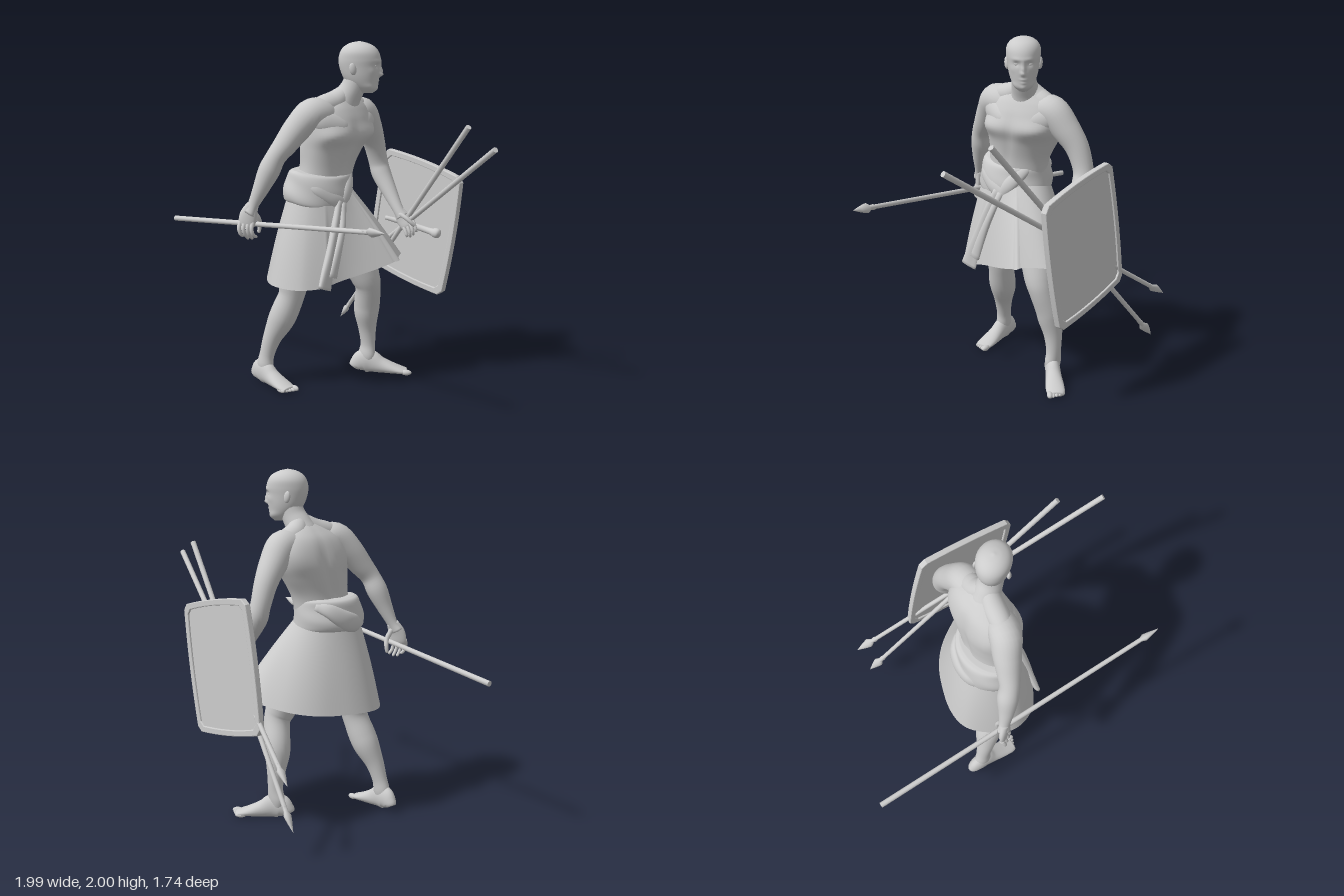
import * as THREE from 'three';

const V = (x, y, z) => new THREE.Vector3(x, y, z);
const FACING = V(0.83, 0, 0.56); // direction the chest points to
const UP = V(0, 1, 0);
const mat = new THREE.MeshStandardMaterial({ color: 0xcccccc });
const thin = new THREE.MeshStandardMaterial({ color: 0xcccccc, side: THREE.DoubleSide });

function add(parent, name, geometry, material = mat) {
  const m = new THREE.Mesh(geometry, material);
  m.name = name;
  parent.add(m);
  return m;
}

// Smooth closed surface through oval sections, rows of [x, y, z, halfWidth, halfDepth].
// ref: direction of the depth axis; level: keep sections horizontal;
// shape(angle, point): radius factor; warp(vertex): final adjustment.
function sweep(rows, { ref = FACING, level = false, seg = 24, step = 5, shape, warp } = {}) {
  const path = new THREE.CatmullRomCurve3(rows.map(r => V(r[0], r[1], r[2])), false, 'catmullrom', 0.5);
  const size = new THREE.CatmullRomCurve3(rows.map(r => V(r[3], r[4] ?? r[3], 0)), false, 'catmullrom', 0.5);
  const n = (rows.length - 1) * step, pos = [], idx = [];
  const put = v => { if (warp) warp(v); pos.push(v.x, v.y, v.z); };
  for (let i = 0; i <= n; i++) {
    const p = path.getPoint(i / n), s = size.getPoint(i / n);
    const t = level ? UP.clone() : path.getTangent(i / n);
    const side = ref.clone().cross(t).normalize(), depth = t.clone().cross(side);
    for (let j = 0; j < seg; j++) {
      const a = j / seg * Math.PI * 2, k = shape ? shape(a, p) : 1;
      put(p.clone().addScaledVector(side, Math.cos(a) * s.x * k).addScaledVector(depth, Math.sin(a) * s.y * k));
      const q = i * seg + j, r = i * seg + (j + 1) % seg;
      if (i < n) idx.push(q, r, q + seg, r, r + seg, q + seg);
    }
  }
  put(path.getPoint(0));
  put(path.getPoint(1));
  const c0 = (n + 1) * seg, last = n * seg;
  for (let j = 0; j < seg; j++) {
    const k = (j + 1) % seg;
    idx.push(c0, k, j, c0 + 1, last + j, last + k);
  }
  const g = new THREE.BufferGeometry();
  g.setAttribute('position', new THREE.Float32BufferAttribute(pos, 3));
  g.setIndex(idx);
  g.computeVertexNormals();
  return g;
}

// Soft swellings and hollows: [angle from front, y, angular width, height, amount], mirrored
const bumps = list => (a, p) => {
  let k = 1;
  for (const [a0, y0, wa, wy, amt] of list) for (const s of a0 ? [1, -1] : [1]) {
    let d = a - Math.PI / 2 - s * a0;
    d = Math.atan2(Math.sin(d), Math.cos(d));
    k += amt * Math.exp(-((d / wa) ** 2) - ((p.y - y0) / wy) ** 2);
  }
  return k;
};

function ball(parent, name, x, y, z, sx, sy, sz) {
  const m = add(parent, name, new THREE.SphereGeometry(1, 20, 14));
  m.position.set(x, y, z);
  m.scale.set(sx, sy, sz);
  return m;
}

function finger(parent, name, pts, r) {
  const rows = pts.map((p, i) => [...p, r * (1 - 0.12 * i)]);
  const e = pts[pts.length - 1], f = pts[pts.length - 2];
  rows.push([...e.map((c, i) => c + (c - f[i]) * 0.22), r * 0.25]);
  add(parent, name, sweep(rows, { seg: 10, step: 4 }));
}

function foot(parent, name, [hx, hz], [tx, tz], inner) {
  const at = t => [hx + (tx - hx) * t, hz + (tz - hz) * t];
  const rows = [[0, 0.025, 0.06], [0.03, 0.036, 0.095], [0.14, 0.043, 0.14], [0.28, 0.043, 0.14], [0.45, 0.046, 0.1],
    [0.65, 0.053, 0.066], [0.82, 0.053, 0.042], [0.92, 0.042, 0.03]]
    .map(([t, w, h]) => { const [x, z] = at(t); return [x, h / 2, z, w, h / 2]; });
  add(parent, name, sweep(rows, { ref: UP, warp: v => { v.y = Math.max(v.y, 0.003); } }));
  const L = Math.hypot(tx - hx, tz - hz), nx = -(tz - hz) / L, nz = (tx - hx) / L;
  for (let i = 0; i < 5; i++) {
    const [x, z] = at(0.92 - i * 0.025), o = inner * (0.036 - i * 0.019), r = i ? 0.013 : 0.017;
    const toe = ball(parent, name + 'Toe', x + nx * o, r, z + nz * o, 0.032, r, r);
    toe.rotation.y = -Math.atan2(tz - hz, tx - hx);
  }
}

function spear(parent, name, butt, tip) {
  const g = new THREE.Group(), len = butt.distanceTo(tip), shaft = len - 0.12;
  g.name = name;
  add(g, 'shaft', new THREE.CylinderGeometry(0.013, 0.016, shaft, 12)).position.y = shaft / 2;
  const leaf = [[0.012, -0.05], [0.017, -0.03], [0.014, -0.01], [0.03, 0.02], [0.02, 0.06], [0, 0.12]];
  const head = add(g, 'spearHead', new THREE.LatheGeometry(leaf.map(p => new THREE.Vector2(...p)), 12));
  head.position.y = shaft;
  head.scale.z = 0.65;
  g.position.copy(butt);
  g.quaternion.setFromUnitVectors(UP, tip.clone().sub(butt).normalize());
  parent.add(g);
}

// Rectangle with cut corners and gently bowed sides
function plate(w, h, c, bow, Type = THREE.Shape) {
  const s = new Type();
  s.moveTo(-w + c, -h);
  s.quadraticCurveTo(0, -h - bow, w - c, -h); s.lineTo(w, -h + c);
  s.quadraticCurveTo(w + bow, 0, w, h - c); s.lineTo(w - c, h);
  s.quadraticCurveTo(0, h + bow, -w + c, h); s.lineTo(-w, h - c);
  s.quadraticCurveTo(-w - bow, 0, -w, -h + c); s.lineTo(-w + c, -h);
  return s;
}

function buildHead(g) {
  // [y, back, front, half width]
  const rows = [[1.712, 0.2, 0.275, 0.025], [1.735, 0.165, 0.298, 0.05], [1.77, 0.125, 0.304, 0.068],
    [1.81, 0.1, 0.31, 0.08], [1.86, 0.083, 0.314, 0.088], [1.9, 0.079, 0.318, 0.093], [1.94, 0.088, 0.307, 0.092],
    [1.97, 0.11, 0.283, 0.075], [1.99, 0.145, 0.243, 0.045], [2, 0.19, 0.2, 0.006]]
    .map(([y, b, f, w]) => [(b + f) / 2, y, -0.042, w, (f - b) / 2]);
  const face = bumps([[0.42, 1.866, 0.17, 0.015, -0.075], [0.35, 1.89, 0.3, 0.011, 0.035], [0, 1.815, 0.13, 0.012, 0.2],
    [0, 1.838, 0.1, 0.016, 0.15], [0, 1.865, 0.1, 0.02, 0.06], [0.75, 1.835, 0.22, 0.02, 0.03], [0, 1.782, 0.25, 0.007, 0.05],
    [0, 1.764, 0.22, 0.007, 0.05], [0, 1.735, 0.28, 0.014, 0.06], [1, 1.745, 0.4, 0.02, 0.06]]);
  add(g, 'head', sweep(rows, { ref: V(1, 0, 0), level: true, seg: 64, step: 8, shape: face }));
  for (const s of [1, -1]) {
    ball(g, 'ear', 0.175, 1.85, -0.042 + s * 0.09, 0.02, 0.034, 0.013).rotation.set(0, s * 0.35, 0.2);
    ball(g, 'eye', 0.287, 1.864, -0.042 + s * 0.035, 0.012, 0.009, 0.016);
  }
  add(g, 'neck', sweep([[0.085, 1.52, -0.06, 0.1, 0.06], [0.1, 1.62, -0.057, 0.1, 0.086], [0.125, 1.68, -0.053, 0.08, 0.078],
    [0.16, 1.74, -0.046, 0.068, 0.07], [0.185, 1.8, -0.042, 0.066, 0.07]]));
}

function buildBody(g) {
  const muscles = bumps([[0.6, 1.48, 0.45, 0.055, 0.14], [0, 1.46, 0.14, 0.1, -0.06], [0, 1.28, 0.12, 0.1, -0.04],
    [Math.PI - 0.001, 1.4, 0.15, 0.25, -0.05], [2.4, 1.52, 0.35, 0.09, 0.08], [1.9, 1.42, 0.3, 0.1, 0.05]]);
  add(g, 'torso', sweep([[-0.01, 0.95, -0.01, 0.19, 0.14], [-0.02, 1.1, 0, 0.19, 0.13], [0, 1.2, -0.01, 0.185, 0.125],
    [0.02, 1.3, -0.02, 0.186, 0.125], [0.045, 1.4, -0.035, 0.21, 0.14], [0.068, 1.48, -0.045, 0.232, 0.152],
    [0.076, 1.56, -0.052, 0.235, 0.138], [0.08, 1.62, -0.055, 0.205, 0.115], [0.09, 1.665, -0.055, 0.14, 0.085],
    [0.11, 1.71, -0.055, 0.05, 0.05]], { level: true, seg: 56, step: 6, shape: muscles }));

  // Sloping muscle between neck and shoulder, and chest muscle running into the arm
  add(g, 'rightTrapezius', sweep([[-0.06, 1.62, 0.12, 0.04], [0, 1.638, 0.07, 0.062], [0.06, 1.66, 0.01, 0.064],
    [0.11, 1.705, -0.032, 0.052], [0.145, 1.76, -0.042, 0.03]]));
  add(g, 'leftTrapezius', sweep([[0.19, 1.6, -0.21, 0.04], [0.165, 1.618, -0.165, 0.062], [0.13, 1.65, -0.115, 0.064],
    [0.125, 1.705, -0.07, 0.052], [0.145, 1.76, -0.046, 0.03]]));
  add(g, 'rightChestMuscle', sweep([[-0.05, 1.57, 0.14, 0.03], [0.02, 1.56, 0.12, 0.07, 0.05], [0.11, 1.52, 0.05, 0.065, 0.06], [0.15, 1.49, 0.01, 0.02]], { ref: FACING }));
  add(g, 'leftChestMuscle', sweep([[0.22, 1.55, -0.24, 0.03], [0.215, 1.55, -0.17, 0.07, 0.05], [0.19, 1.52, -0.09, 0.065, 0.06], [0.18, 1.49, -0.04, 0.02]], { ref: FACING }));

  add(g, 'rightArm', sweep([[0.1, 1.56, -0.02, 0.03], [0.03, 1.59, 0.05, 0.078], [-0.04, 1.603, 0.108, 0.09], [-0.115, 1.53, 0.145, 0.08],
    [-0.18, 1.44, 0.18, 0.067], [-0.23, 1.37, 0.205, 0.057], [-0.27, 1.29, 0.21, 0.061], [-0.315, 1.19, 0.22, 0.046],
    [-0.358, 1.1, 0.225, 0.03, 0.034], [-0.385, 1.05, 0.23, 0.03, 0.042]]));
  add(g, 'leftArm', sweep([[0.1, 1.54, -0.07, 0.03], [0.14, 1.575, -0.14, 0.078], [0.185, 1.585, -0.2, 0.088], [0.215, 1.5, -0.27, 0.08],
    [0.24, 1.4, -0.335, 0.066], [0.262, 1.28, -0.37, 0.057], [0.285, 1.2, -0.365, 0.058], [0.345, 1.09, -0.325, 0.044],
    [0.398, 1, -0.285, 0.032], [0.425, 0.96, -0.275, 0.036]]));

  // Hands loosely closed around the spears
  add(g, 'rightPalm', sweep([[-0.36, 1.1, 0.225, 0.028, 0.034], [-0.385, 1.04, 0.232, 0.024, 0.05],
    [-0.395, 0.985, 0.235, 0.02, 0.048], [-0.397, 0.965, 0.235, 0.01, 0.035]], { ref: V(1, 0, 0) }));
  add(g, 'leftPalm', sweep([[0.398, 1, -0.285, 0.03], [0.43, 0.95, -0.275, 0.024, 0.044],
    [0.456, 0.91, -0.262, 0.02, 0.04], [0.466, 0.895, -0.258, 0.01, 0.03]], { ref: V(0.8, 0.5, 0) }));
  for (let i = 0; i < 4; i++) {
    const x = -0.432 + i * 0.024, drop = [0.015, 0, 0, 0.01][i];
    finger(g, 'rightFinger', [[x, 1, 0.237], [x - 0.003, 0.965, 0.256], [x + 0.006, 0.93, 0.25], [x + 0.016, 0.905 + drop, 0.225]], 0.013);
    const lx = 0.432 + i * 0.018, ly = 0.89 + i * 0.012;
    finger(g, 'leftFinger', [[lx, ly + 0.02, -0.262], [lx + 0.015, ly - 0.01, -0.245], [lx + 0.024, ly - 0.035, -0.24],
      [lx + 0.026, ly - 0.055 + drop, -0.25]], 0.012);
  }
  finger(g, 'rightThumb', [[-0.36, 1.06, 0.215], [-0.335, 1.01, 0.195], [-0.335, 0.97, 0.175], [-0.34, 0.935, 0.175]], 0.016);
  finger(g, 'leftThumb', [[0.41, 0.98, -0.26], [0.45, 0.96, -0.24], [0.48, 0.935, -0.235], [0.505, 0.91, -0.245]], 0.015);

  add(g, 'rightLeg', sweep([[-0.08, 0.98, 0.07, 0.12], [-0.12, 0.78, 0.09, 0.11], [-0.155, 0.63, 0.095, 0.088],
    [-0.17, 0.55, 0.095, 0.076], [-0.21, 0.45, 0.09, 0.08], [-0.242, 0.38, 0.085, 0.076], [-0.29, 0.28, 0.085, 0.055],
    [-0.322, 0.18, 0.083, 0.042, 0.046], [-0.335, 0.11, 0.083, 0.042, 0.054], [-0.335, 0.05, 0.083, 0.03, 0.04]]));
  add(g, 'leftLeg', sweep([[0.08, 0.98, -0.1, 0.12], [0.16, 0.78, -0.125, 0.11], [0.222, 0.63, -0.135, 0.088],
    [0.24, 0.56, -0.15, 0.076], [0.23, 0.45, -0.187, 0.077], [0.225, 0.38, -0.2, 0.073], [0.228, 0.28, -0.215, 0.054],
    [0.232, 0.18, -0.22, 0.042, 0.046], [0.226, 0.11, -0.217, 0.042, 0.056], [0.226, 0.05, -0.217, 0.03, 0.04]]));
  foot(g, 'rightFoot', [-0.4, 0.04], [-0.135, 0.235], -1);
  foot(g, 'leftFoot', [0.155, -0.208], [0.495, -0.235], 1);
}

function buildClothes(g) {
  // Skirt: from the waist oval out to an uneven hem
  const hem = new THREE.CatmullRomCurve3([[0.435, 0.765, -0.03], [0.435, 0.755, 0], [0.41, 0.75, 0.02], [0.25, 0.7, 0.12], [0.09, 0.655, 0.23],
    [0.06, 0.645, 0.265], [-0.07, 0.635, 0.31], [-0.26, 0.64, 0.23], [-0.33, 0.64, 0], [-0.23, 0.645, -0.18], [-0.07, 0.65, -0.29],
    [0.16, 0.68, -0.34], [0.35, 0.72, -0.3], [0.43, 0.76, -0.18]].map(p => V(...p)), true);
  const cols = 140, lines = 16;
  const skirt = new THREE.PlaneGeometry(1, 1, cols, lines), pos = skirt.attributes.position;
  for (let k = 0; k < pos.count; k++) {
    const u = (k % (cols + 1)) / cols, t = Math.floor(k / (cols + 1)) / lines;
    const h = hem.getPoint(u), d = V(h.x + 0.02, 0, h.z).normalize();
    const f = d.dot(FACING) / 0.152, s = (d.x * 0.56 - d.z * 0.83) / 0.195;
    const top = d.clone().multiplyScalar(1 / Math.hypot(f, s)).add(V(-0.02, 1.17, 0));
    const p = top.lerp(h, t).addScaledVector(d, Math.sin(u * Math.PI * 14) * 0.006 * t + 0.008 * Math.sin(Math.PI * t));
    pos.setXYZ(k, p.x, p.y, p.z);
  }
  skirt.computeVertexNormals();
  add(g, 'skirt', skirt, thin);

  // Rolled sash, dipping at the front, with crossing folds and a hanging end
  const dip = v => { v.y -= 0.035 * Math.max(0, ((v.x + 0.02) * 0.83 + v.z * 0.56) / 0.16); };
  add(g, 'sash', sweep([[-0.03, 1.1, 0, 0.195, 0.15], [-0.032, 1.115, 0, 0.217, 0.175], [-0.03, 1.16, 0, 0.222, 0.18],
    [-0.025, 1.22, 0, 0.212, 0.168], [-0.02, 1.27, -0.005, 0.203, 0.155], [-0.015, 1.285, -0.005, 0.185, 0.128]],
  { level: true, seg: 56, warp: dip, shape: (a, p) => 1 + 0.014 * Math.sin(3 * a + p.y * 45) }));
  add(g, 'sashFold', sweep([[-0.06, 1.23, 0.175, 0.02, 0.01], [0, 1.19, 0.17, 0.04, 0.02], [0.07, 1.135, 0.13, 0.045, 0.024],
    [0.115, 1.095, 0.085, 0.04, 0.024], [0.125, 1.06, 0.08, 0.02, 0.015]]));
  add(g, 'sashEnd', sweep([[0.115, 1.08, 0.085, 0.025, 0.02], [0.135, 1.14, 0.045, 0.04, 0.024], [0.14, 1.2, -0.01, 0.04, 0.024],
    [0.13, 1.25, -0.07, 0.03, 0.02], [0.1, 1.265, -0.13, 0.015, 0.01]]));
  add(g, 'backFold', sweep([[0, 1.25, -0.19, 0.02, 0.01], [-0.08, 1.225, -0.175, 0.04, 0.022], [-0.15, 1.17, -0.12, 0.055, 0.028],
    [-0.195, 1.14, -0.04, 0.05, 0.026], [-0.2, 1.15, 0.04, 0.02, 0.01]]));
  add(g, 'hangingCloth', sweep([[0.11, 1.11, 0.1, 0.028, 0.02], [0.1, 0.98, 0.16, 0.028, 0.02], [0.083, 0.83, 0.213, 0.036, 0.02],
    [0.067, 0.72, 0.252, 0.044, 0.018], [0.058, 0.64, 0.28, 0.05, 0.014]], { shape: a => 1 + 0.12 * Math.cos(3 * a) }));
  add(g, 'hangingFold', sweep([[0.13, 1.1, 0.085, 0.02, 0.016], [0.136, 0.96, 0.148, 0.02, 0.017], [0.118, 0.82, 0.2, 0.026, 0.016],
    [0.1, 0.7, 0.238, 0.03, 0.012]]));
}

function buildArms(g) {
  const shield = new THREE.Group();
  shield.name = 'shield';
  const rim = plate(0.305, 0.367, 0.03, 0.025);
  rim.holes.push(plate(0.28, 0.342, 0.03, 0.025, THREE.Path));
  const bevel = { bevelThickness: 0.005, bevelSize: 0.005, bevelSegments: 2 };
  add(shield, 'rim', new THREE.ExtrudeGeometry(rim, { depth: 0.026, ...bevel })).position.z = -0.013;
  add(shield, 'panel', new THREE.ExtrudeGeometry(plate(0.285, 0.347, 0.03, 0.025), { depth: 0.014, bevelEnabled: false })).position.z = -0.007;
  const u = V(0.788, -0.185, 0.587).normalize(), n = u.clone().cross(V(0.134, 0.985, 0.11)).normalize();
  shield.quaternion.setFromRotationMatrix(new THREE.Matrix4().makeBasis(u, n.clone().cross(u), n));
  shield.position.set(0.485, 0.918, -0.372);
  g.add(shield);

  add(g, 'club', sweep([[0.32, 0.945, -0.31, 0.012], [0.42, 0.925, -0.288, 0.017], [0.54, 0.9, -0.25, 0.018],
    [0.6, 0.889, -0.22, 0.02], [0.628, 0.885, -0.205, 0.029], [0.648, 0.882, -0.195, 0.026], [0.658, 0.88, -0.19, 0.008]], { ref: UP }));
  spear(g, 'raisedSpear', V(0.825, 1.55, 0.11), V(-0.04, 0.16, -0.81));
  spear(g, 'spareSpear', V(0.98, 1.46, 0.335), V(-0.028, 0.435, -0.872));
  spear(g, 'throwingSpear', V(-0.985, 0.895, -0.285), V(0.475, 1.105, 0.866));
}

export function createModel() {
  const model = new THREE.Group();
  model.name = 'spearman';
  for (const [name, build] of [['headAndNeck', buildHead], ['body', buildBody], ['clothes', buildClothes], ['weapons', buildArms]]) {
    const g = new THREE.Group();
    g.name = name;
    build(g);
    model.add(g);
  }
  return model;
}
